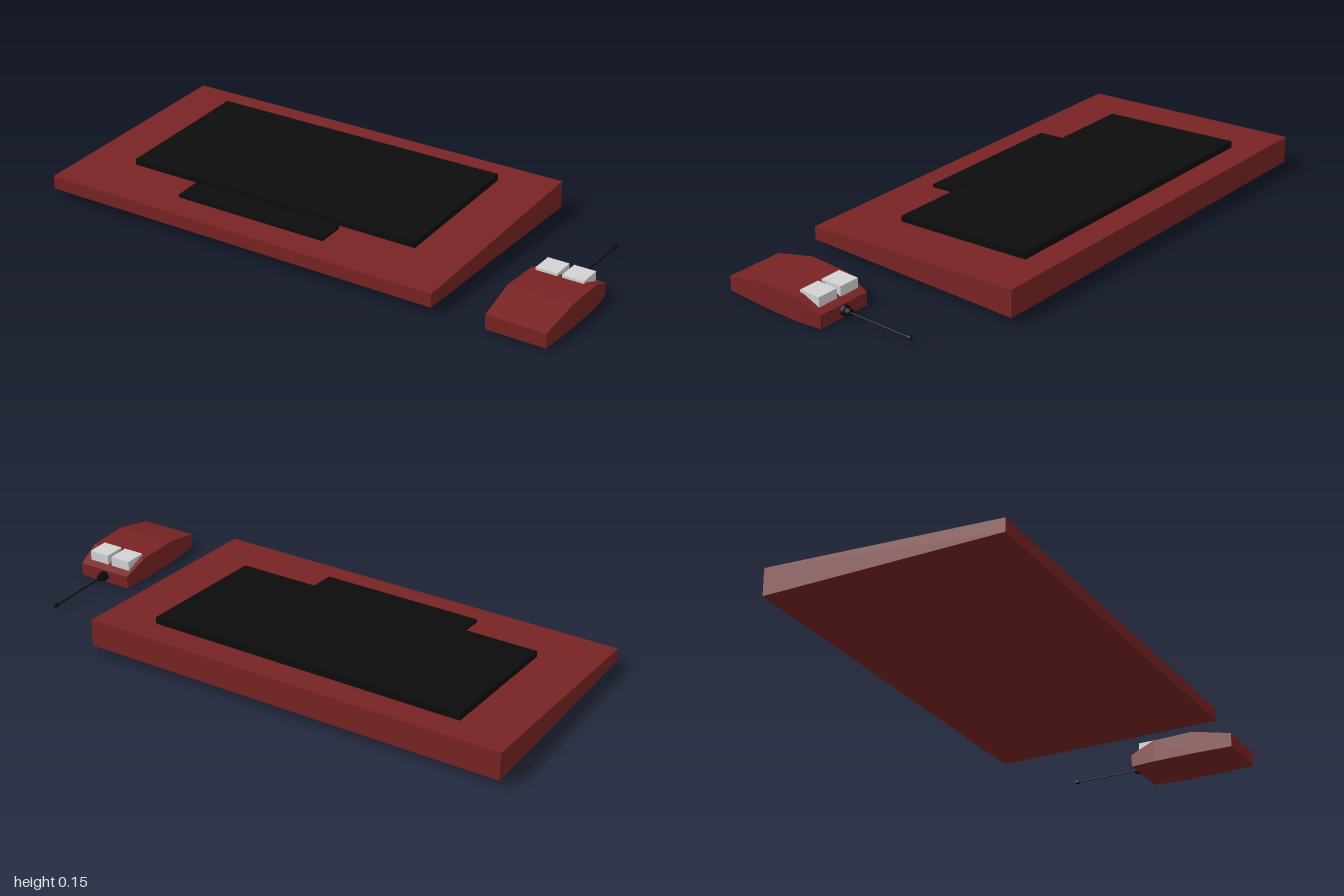
import * as THREE from 'three';

const red = new THREE.MeshStandardMaterial({ name: 'dark red', color: 0x782323 });
const black = new THREE.MeshStandardMaterial({ name: 'black', color: 0x0c0c0c });
const grey = new THREE.MeshStandardMaterial({ name: 'light grey', color: 0xd2d2d2 });

// Flat-faced solid through rectangles [z, x0, x1, y0, y1], listed back to front
function loft(name, sections, material) {
  const rings = sections.map(([z, x0, x1, y0, y1]) =>
    [[x0, y0, z], [x1, y0, z], [x1, y1, z], [x0, y1, z]]);
  const pos = [];
  const quad = (a, b, c, d) => pos.push(...a, ...b, ...c, ...a, ...c, ...d);
  for (let s = 0; s < rings.length - 1; s++) {
    for (let i = 0; i < 4; i++) {
      const j = (i + 1) % 4;
      quad(rings[s][i], rings[s][j], rings[s + 1][j], rings[s + 1][i]);
    }
  }
  const [b, f] = [rings[0], rings[rings.length - 1]];
  quad(f[0], f[1], f[2], f[3]);
  quad(b[3], b[2], b[1], b[0]);
  const geo = new THREE.BufferGeometry();
  geo.setAttribute('position', new THREE.Float32BufferAttribute(pos, 3));
  geo.computeVertexNormals();
  const mesh = new THREE.Mesh(geo, material);
  mesh.name = name;
  return mesh;
}

// Cylinder lying along z between two depths
function rod(name, radius, z0, z1, sides) {
  const geo = new THREE.CylinderGeometry(radius, radius, z1 - z0, sides);
  geo.rotateX(Math.PI / 2);
  const mesh = new THREE.Mesh(geo, black);
  mesh.name = name;
  mesh.position.set(0.88, 0.027, (z0 + z1) / 2);
  return mesh;
}

export function createModel() {
  const model = new THREE.Group();
  model.name = 'keyboardAndMouse';

  // Keyboard: wedge-shaped case with two raised key slabs
  const keyboard = new THREE.Group();
  keyboard.name = 'keyboard';
  keyboard.add(
    loft('keyboardCase', [[-0.438, -1, 0.585, 0.029, 0.13], [0.438, -1, 0.585, 0.031, 0.08]], red),
    loft('keyBlock', [[-0.33, -0.8, 0.387, 0.115, 0.149], [0.219, -0.8, 0.387, 0.085, 0.114]], black),
    loft('spaceBar', [[0.238, -0.51, 0.098, 0.082, 0.104], [0.336, -0.51, 0.098, 0.078, 0.097]], black),
  );

  // Mouse: tapered body, two buttons and a short cable
  const mouse = new THREE.Group();
  mouse.name = 'mouse';
  mouse.add(loft('mouseBody', [
    [0.01, 0.775, 0.986, 0.001, 0.049],
    [0.105, 0.766, 0.997, 0.001, 0.086],
    [0.265, 0.764, 0.998, 0.002, 0.09],
    [0.42, 0.773, 0.99, 0.004, 0.057],
  ], red));
  for (const [name, x] of [['rightButton', 0.786], ['leftButton', 0.882]]) {
    mouse.add(loft(name, [[0.037, x, x + 0.08, 0.055, 0.096], [0.121, x, x + 0.08, 0.08, 0.096]], grey));
  }
  mouse.add(
    rod('cableCollar', 0.019, -0.003, 0.012, 12),
    rod('cableSleeve', 0.013, -0.022, -0.003, 12),
    rod('cable', 0.003, -0.268, -0.02, 8),
    rod('cableTip', 0.007, -0.281, -0.265, 10),
  );

  model.add(keyboard, mouse);
  return model;
}
